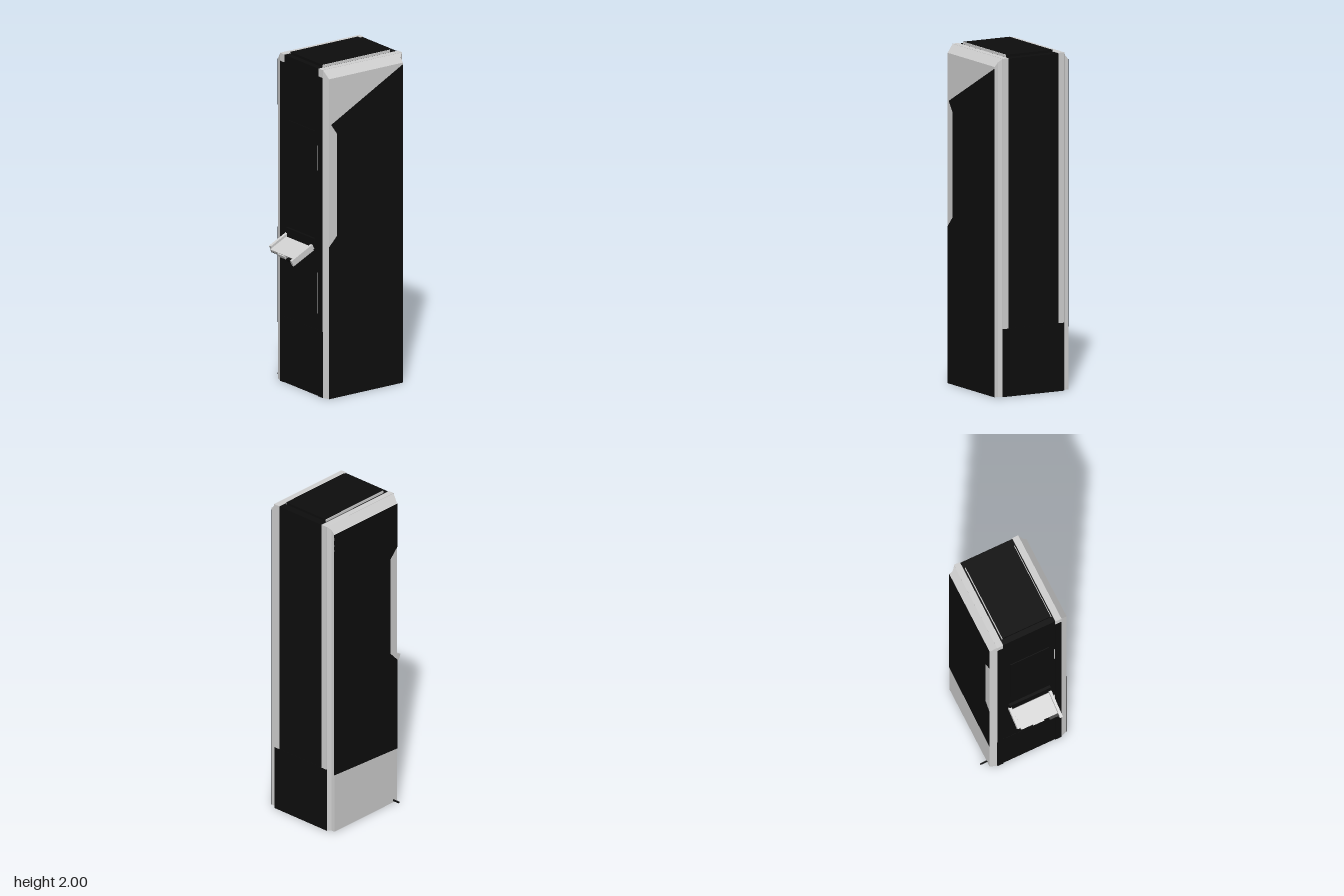
import * as THREE from 'three';

const silver = new THREE.MeshStandardMaterial({ color: 0xcfcfcf });
silver.name = 'silver';
const black = new THREE.MeshStandardMaterial({ color: 0x0d0d0d });
black.name = 'black';

const MID = 0.022; // z of the cabinet's middle plane

function add(parent, name, geometry, material) {
  const mesh = new THREE.Mesh(geometry, material);
  mesh.name = name;
  parent.add(mesh);
  return mesh;
}

// Box given by its limits on each axis
function box(parent, name, material, [x0, x1], [y0, y1], [z0, z1]) {
  const mesh = add(parent, name, new THREE.BoxGeometry(x1 - x0, y1 - y0, z1 - z0), material);
  mesh.position.set((x0 + x1) / 2, (y0 + y1) / 2, (z0 + z1) / 2);
  return mesh;
}

function extrude(points, depth) {
  const shape = new THREE.Shape(points.map(([x, y]) => new THREE.Vector2(x, y)));
  return new THREE.ExtrudeGeometry(shape, { depth, bevelEnabled: false });
}

// Door skin: plan outline pulled up, its top sloping down towards the outside
function doorSkin(side) {
  const plan = [[-0.2, 0.206], [-0.187, 0.2475], [0.345, 0.2475], [0.345, 0.226], [0.366, 0.206]];
  const g = extrude(plan.map(([x, z]) => [x, -side * z]), 1.988);
  g.rotateX(-Math.PI / 2);
  const p = g.attributes.position;
  for (let i = 0; i < p.count; i++) {
    if (p.getY(i) > 1) p.setY(i, 1.988 - (Math.abs(p.getZ(i)) - 0.206) * 1.16);
  }
  g.computeVertexNormals();
  return g;
}

export function createModel() {
  const model = new THREE.Group();
  model.name = 'kiosk';
  const cabinet = new THREE.Group();
  cabinet.name = 'cabinet';
  cabinet.position.z = MID;
  model.add(cabinet);

  // Core, plinth and lid
  box(cabinet, 'core', black, [-0.199, 0.365], [0, 1.985], [-0.168, 0.168]);
  box(cabinet, 'plinth', black, [-0.2, 0.366], [0, 0.4], [-0.207, 0.207]);
  box(cabinet, 'lid', black, [-0.165, 0.32], [1.98, 2], [-0.155, 0.155]);

  // Skins, trims and lid edging on the two broad faces
  for (const side of [1, -1]) {
    const span = (a, b) => (side > 0 ? [a, b] : [-b, -a]);
    add(cabinet, 'doorSkin', doorSkin(side), silver);
    box(cabinet, 'cornerTrim', silver, [-0.202, 0.369], [0.4, 1.988], span(0.168, 0.207));
    box(cabinet, 'trimCover', black, [-0.204, -0.199], [0, 1.94], span(0.166, 0.205));
    box(cabinet, 'lidEdge', silver, [-0.165, 0.32], [1.98, 2], span(0.155, 0.159));
  }

  // Black graphics on the broad faces
  const notch = [[-0.13, 1.6], [-0.13, 0.98], [-0.187, 0.92]];
  const front = [[-0.187, 0], [0.345, 0], [0.345, 1.93], [-0.172, 1.66], ...notch];
  const back = [[-0.187, 0.34], [0.345, 0.37], [0.345, 1.94], [-0.187, 1.94], [-0.187, 1.66], ...notch];
  add(cabinet, 'frontGraphic', extrude(front, 0.003), black).position.z = 0.2465;
  add(cabinet, 'backGraphic', extrude(back, 0.003), black).position.z = -0.2495;

  // Service side: screen and thin bright seams
  box(model, 'screen', black, [-0.203, -0.198], [1.05, 1.6], [-0.1, 0.15]);
  for (const [y0, y1] of [[0.5, 0.75], [1.37, 1.52]]) {
    box(model, 'seam', silver, [-0.205, -0.198], [y0, y1], [0.183, 0.187]);
  }

  // Tilted shelf with its side cheeks and backplate
  box(model, 'shelfBackplate', black, [-0.215, -0.198], [0.88, 0.95], [-0.11, 0.155]);
  const shelf = new THREE.Group();
  shelf.name = 'shelf';
  shelf.position.set(-0.205, 0.905, 0);
  shelf.rotation.z = 0.45;
  model.add(shelf);
  box(shelf, 'shelfTop', silver, [-0.148, -0.018], [-0.012, 0.004], [-0.095, 0.137]);
  box(shelf, 'shelfBase', black, [-0.145, 0], [-0.02, -0.012], [-0.1, 0.14]);
  box(shelf, 'frontCheek', silver, [-0.178, -0.01], [-0.022, 0.016], [0.139, 0.155]);
  box(shelf, 'backCheek', silver, [-0.135, 0], [-0.022, 0.016], [-0.115, -0.097]);
  box(shelf, 'shelfLip', silver, [-0.155, -0.147], [-0.02, 0], [-0.02, 0.05]);
  box(shelf, 'shelfLatch', black, [-0.165, -0.147], [-0.02, 0], [0.08, 0.14]);

  // Small pin at the foot of the back
  box(model, 'footPin', black, [-0.158, -0.15], [0.01, 0.018], [-0.27, -0.22]);

  return model;
}
